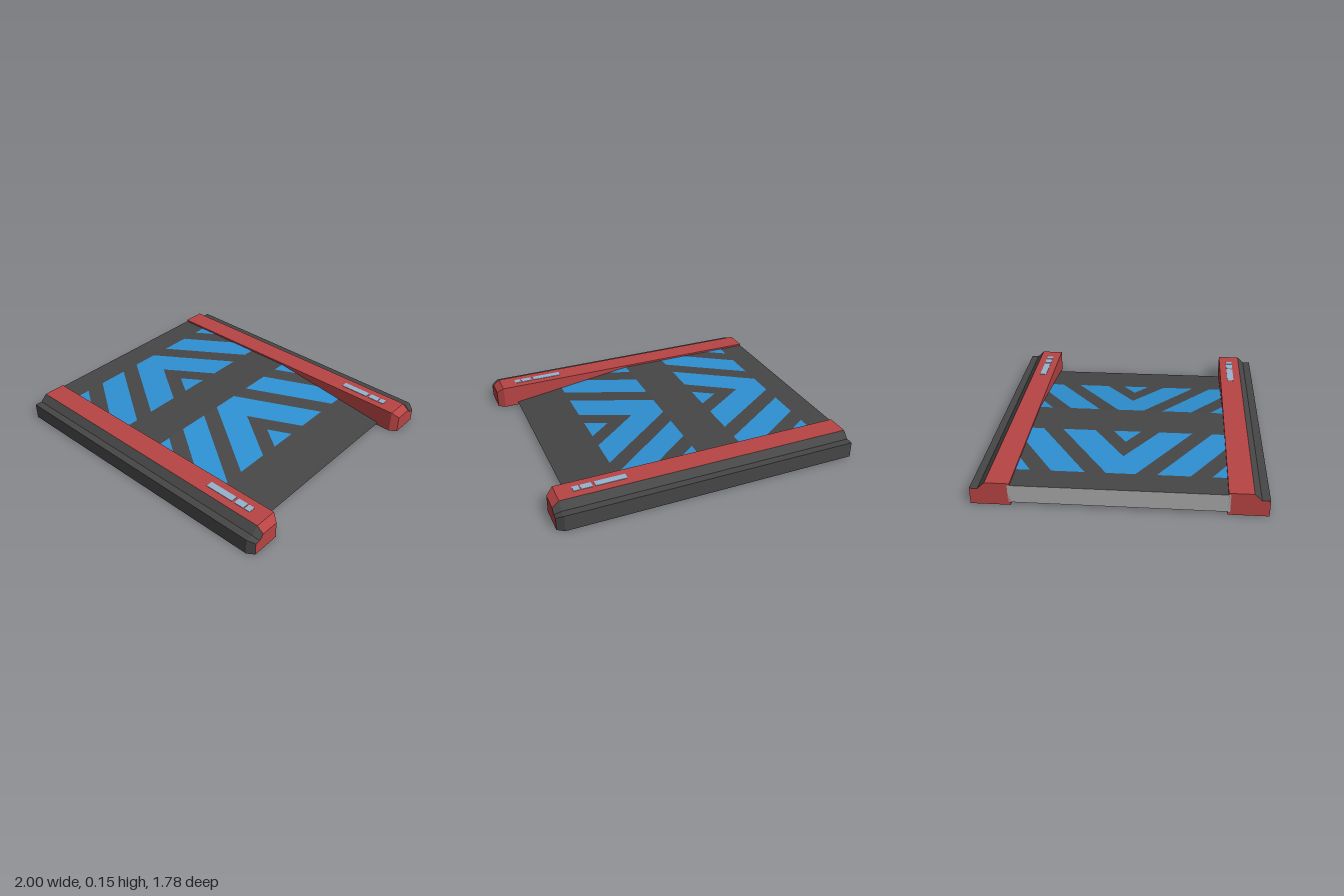
import * as THREE from 'three';

const mat = (name, color) =>
  new THREE.MeshStandardMaterial({ name, color, side: THREE.DoubleSide });

const TOP = 0.138, LOW = 0.02, RAMP_END = 0.86, HALF = 0.66;
const height = (x) => (x <= 0 ? TOP : TOP - ((TOP - LOW) * x) / RAMP_END);

// Flat-shaded geometry from quads, each given as four [x, y, z] corners
function quads(list, flip = false) {
  const pos = [];
  for (const q of list) {
    const [a, b, c, d] = flip ? [...q].reverse() : q;
    pos.push(...a, ...b, ...c, ...a, ...c, ...d);
  }
  const g = new THREE.BufferGeometry();
  g.setAttribute('position', new THREE.Float32BufferAttribute(pos, 3));
  g.computeVertexNormals();
  return g;
}

// Lays flat shapes (x, z) onto the deck surface
function drape(shapes) {
  const g = new THREE.ShapeGeometry(shapes);
  g.rotateX(-Math.PI / 2);
  const p = g.attributes.position;
  for (let i = 0; i < p.count; i++) p.setY(i, height(p.getX(i)));
  g.computeVertexNormals();
  return g;
}

// Chevron band of width 0.52 starting at x0
function chevrons(x0) {
  const k = 0.66, w = 0.52, edge = 0.652;
  const at = (u, z) => new THREE.Vector2(x0 + u, z);
  const outlines = [
    // small arrow tip
    [at(0.38, 0), at(w, -0.092), at(w, 0.092)],
    // central chevron
    [at(0, -0.09), at(w, -0.09 - k * w), at(w, 0.13 - k * w), at(0.2, 0),
      at(w, k * w - 0.13), at(w, 0.09 + k * w), at(0, 0.09)],
  ];
  for (const s of [1, -1]) {
    // outer slanted stripes, clipped by the rails
    outlines.push([at(0, s * 0.22), at(w, s * (0.22 + k * w)), at(w, s * edge),
      at((edge - 0.425) / k, s * edge), at(0, s * 0.425)]);
    outlines.push([at(0, s * 0.555), at((edge - 0.555) / k, s * edge), at(0, s * edge)]);
  }
  return outlines;
}

// One deck section: dark sheet with cut-outs, filled by coloured chevrons
function deckSection(x0, x1, outlines, dark, blue) {
  const sheet = new THREE.Shape([[x0, -HALF], [x1, -HALF], [x1, HALF], [x0, HALF]]
    .map(([x, z]) => new THREE.Vector2(x, z)));
  sheet.holes = outlines.map((o) => new THREE.Path(o));
  const g = new THREE.Group();
  const base = new THREE.Mesh(drape(sheet), dark);
  base.name = 'deckSheet';
  const marks = new THREE.Mesh(drape(outlines.map((o) => new THREE.Shape(o))), blue);
  marks.name = 'chevrons';
  g.add(base, marks);
  return g;
}

// Hollow side rail, open underneath, with a bevelled +x end
function rail(side, red, dark, pale) {
  const full = [[0.645, 0], [0.645, 0.15], [0.795, 0.15], [0.84, 0.107], [0.89, 0.107], [0.89, 0]];
  const inset = [[0.675, 0], [0.675, 0.115], [0.795, 0.115], [0.825, 0.085], [0.86, 0.085], [0.86, 0]];
  const rings = [[-1, full], [0.955, full], [1, inset]]
    .map(([x, prof]) => prof.map(([z, y]) => [x, y, z * side]));
  const inner = [], outer = [];
  for (let r = 0; r < 2; r++) {
    for (let i = 0; i < 5; i++) {
      const quad = [rings[r][i], rings[r][i + 1], rings[r + 1][i + 1], rings[r + 1][i]];
      (i < 2 ? inner : outer).push(quad);
    }
  }
  // end caps
  const cap = (p) => [[p[0], p[1], p[2], p[3]], [p[0], p[3], p[4], p[5]]];
  inner.push(...cap(rings[2]), ...cap(rings[0]).map((q) => q.reverse()));

  const g = new THREE.Group();
  const body = new THREE.Mesh(quads(inner, side < 0), red);
  body.name = 'railBody';
  const bumper = new THREE.Mesh(quads(outer, side < 0), dark);
  bumper.name = 'railBumper';
  g.add(body, bumper);

  // indicator lights on the rail top
  for (const [x0, x1] of [[0.513, 0.715], [0.732, 0.803], [0.812, 0.852]]) {
    const light = new THREE.Mesh(new THREE.BoxGeometry(x1 - x0, 0.004, 0.046), pale);
    light.position.set((x0 + x1) / 2, 0.151, side * 0.719);
    light.name = 'indicatorLight';
    g.add(light);
  }
  return g;
}

export function createModel() {
  const red = mat('red', 0xb84444);
  const dark = mat('dark grey', 0x464646);
  const blue = mat('blue', 0x2e90d2);
  const grey = mat('light grey', 0xa8a8a8);
  const pale = mat('pale blue', 0x96b4cf);

  const model = new THREE.Group();
  model.name = 'boostPad';

  // deck: level half and sloping half
  const level = deckSection(-1, 0, chevrons(-0.82), dark, blue);
  level.name = 'levelDeck';
  const ramp = deckSection(0, RAMP_END, chevrons(0.002), dark, blue);
  ramp.name = 'rampDeck';
  model.add(level, ramp);

  // walls under the deck
  const walls = [[[-1, LOW, -HALF], [-1, LOW, HALF], [-1, TOP, HALF], [-1, TOP, -HALF]]];
  for (const s of [1, -1]) {
    const side = [[-1, LOW, s * HALF], [0, LOW, s * HALF], [0, TOP, s * HALF], [-1, TOP, s * HALF]];
    const wedge = [[0, TOP, s * HALF], [0, LOW, s * HALF], [RAMP_END, LOW, s * HALF], [RAMP_END, LOW, s * HALF]];
    walls.push(...[side, wedge].map((q) => (s > 0 ? q : q.reverse())));
  }
  // the wedge's second triangle is degenerate, so keep the real one on either winding
  const skirt = new THREE.Mesh(quads(walls), grey);
  skirt.name = 'deckWalls';
  model.add(skirt);

  for (const s of [1, -1]) {
    const r = rail(s, red, dark, pale);
    r.name = s > 0 ? 'frontRail' : 'backRail';
    model.add(r);
  }
  return model;
}
